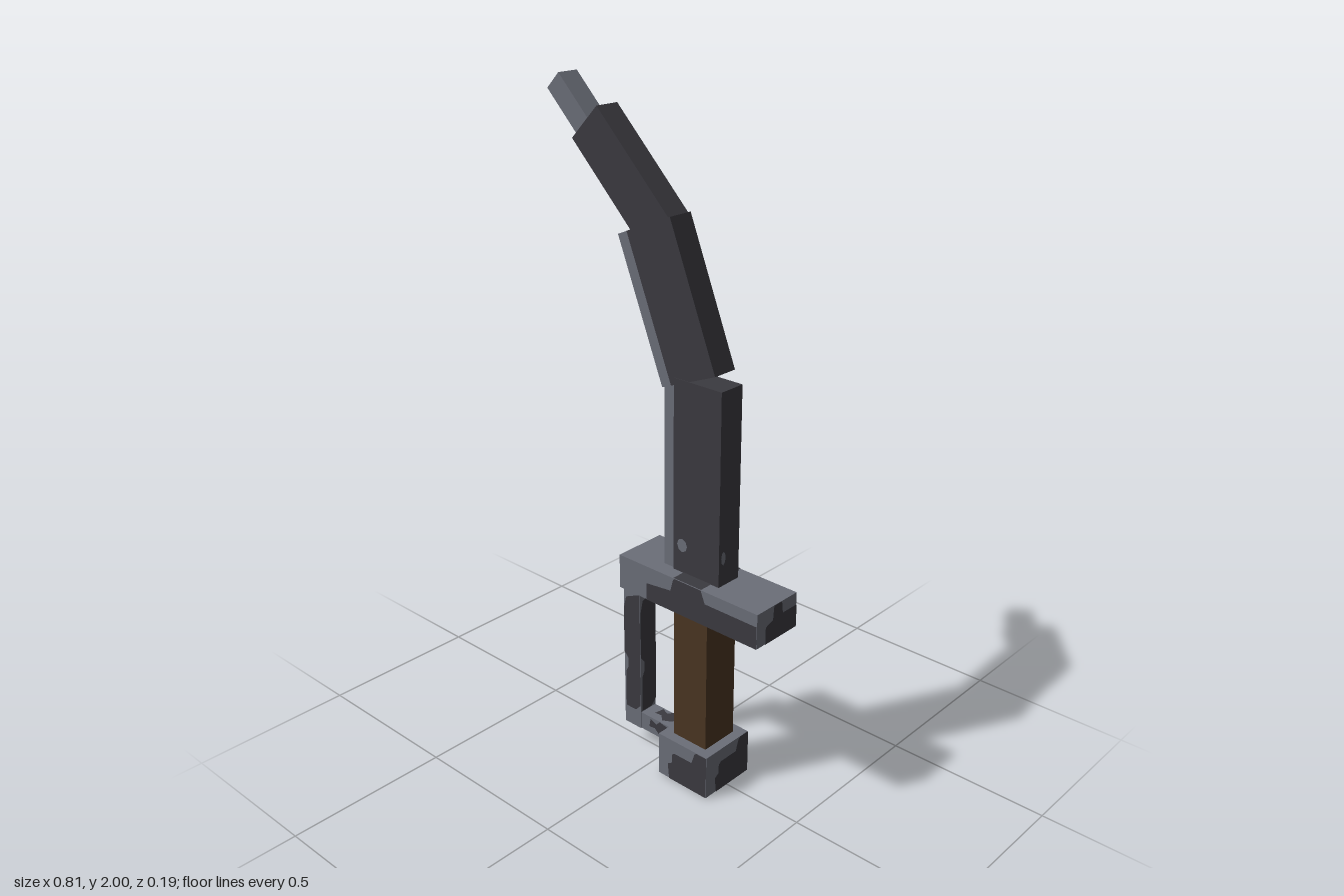
import * as THREE from 'three';

const dark = new THREE.MeshStandardMaterial({ color: 0x3b3a40 });
const steel = new THREE.MeshStandardMaterial({ color: 0x6b6e78 });
const wood = new THREE.MeshStandardMaterial({ color: 0x4a3522 });
dark.name = 'dark iron';
steel.name = 'worn steel';
wood.name = 'brown wood';

// Wear outlines as fractions of a face, seen from outside (u right, v up)
const guardWear = [[0.21, 0], [0.21, 0.5], [0.39, 0.6], [0.41, 0.95], [0.42, 1], [0.61, 1], [0.64, 0.65], [1, 0.65], [1, 0]];
const pommelWear = [[0.23, 0], [0.2, 0.36], [0.29, 0.44], [0.29, 0.64], [0.34, 0.7], [0.7, 0.7], [0.76, 0.95], [0.8, 1], [1, 1], [1, 0]];
const bowWear = [[0.1, 0.12], [0.1, 0.36], [0.25, 0.4], [0.25, 0.46], [0, 0.5], [0, 0.8], [0.15, 0.88], [1, 0.93], [1, 0.16], [0.7, 0.12]];
const barWear = [[0.28, 0.4], [0.32, 0.9], [0.5, 0.75], [0.6, 1], [0.85, 0.9], [0.8, 0.4], [0.6, 0.15], [0.45, 0.45]];
const stripeWear = [[0.41, 0], [0.41, 1], [0.61, 1], [0.61, 0]];
const spot = Array.from({ length: 8 }, (_, i) => {
  const a = -i * Math.PI / 4;
  return [0.2 + 0.11 * Math.cos(a), 0.15 + 0.036 * Math.sin(a)];
});

function box(name, material, x, y, w, h, d, angle = 0) {
  const mesh = new THREE.Mesh(new THREE.BoxGeometry(w, h, d), material);
  mesh.name = name;
  mesh.position.set(x, y, 0);
  mesh.rotation.z = THREE.MathUtils.degToRad(angle);
  return mesh;
}

// Lays a thin painted patch on one face of a box
function patch(part, face, outline, material) {
  const { width: w, height: h, depth: d } = part.geometry.parameters;
  const q = Math.PI / 2;
  const [fw, fh, out, rx, ry] = {
    front: [w, h, d, 0, 0],
    back: [w, h, d, 0, Math.PI],
    left: [d, h, w, 0, q],
    right: [d, h, w, 0, -q],
    top: [w, d, h, -q, 0],
    bottom: [w, d, h, q, 0],
  }[face];
  const shape = new THREE.Shape(outline.map(([u, v]) => new THREE.Vector2((u - 0.5) * fw, (v - 0.5) * fh)));
  const geometry = new THREE.ShapeGeometry(shape);
  geometry.translate(0, 0, out / 2 + 0.0015);
  geometry.rotateX(rx);
  geometry.rotateY(ry);
  const mesh = new THREE.Mesh(geometry, material);
  mesh.name = part.name + ' wear ' + face;
  part.add(mesh);
}

export function createModel() {
  const model = new THREE.Group();
  model.name = 'curvedSword';
  const sides = ['front', 'back', 'left', 'right'];

  // Handle
  const pommel = box('pommel', steel, 0.145, 0.069, 0.187, 0.138, 0.187);
  [...sides, 'bottom'].forEach((f) => patch(pommel, f, pommelWear, dark));
  const grip = box('grip', wood, 0.145, 0.352, 0.124, 0.434, 0.124);

  // Crossguard
  const guard = box('crossguard', steel, 0.147, 0.621, 0.512, 0.106, 0.17);
  [...sides, 'bottom'].forEach((f) => patch(guard, f, guardWear, dark));
  patch(guard, 'top', stripeWear, dark);

  // Knuckle bow and the bar joining it to the pommel
  const bow = box('knuckleBow', steel, -0.112, 0.315, 0.065, 0.502, 0.066);
  sides.forEach((f) => patch(bow, f, bowWear, dark));
  const bar = box('knuckleBar', steel, -0.015, 0.093, 0.135, 0.056, 0.062);
  ['front', 'back', 'top', 'bottom'].forEach((f) => patch(bar, f, barWear, dark));

  // Blade in three bent sections with a bright cutting edge and tip
  const lower = box('lowerBlade', dark, 0.146, 0.961, 0.168, 0.576, 0.084);
  ['front', 'back', 'left'].forEach((f) => patch(lower, f, spot, steel));
  model.add(
    pommel, grip, guard, bow, bar, lower,
    box('lowerEdge', steel, 0.042, 0.952, 0.042, 0.556, 0.07),
    box('middleBlade', dark, 0.0475, 1.451, 0.167, 0.426, 0.08, 22),
    box('middleEdge', steel, -0.048, 1.412, 0.04, 0.426, 0.07, 22),
    box('upperBlade', dark, -0.1325, 1.7525, 0.134, 0.367, 0.077, 45),
    box('tip', steel, -0.319, 1.914, 0.063, 0.18, 0.068, 45),
  );
  return model;
}
